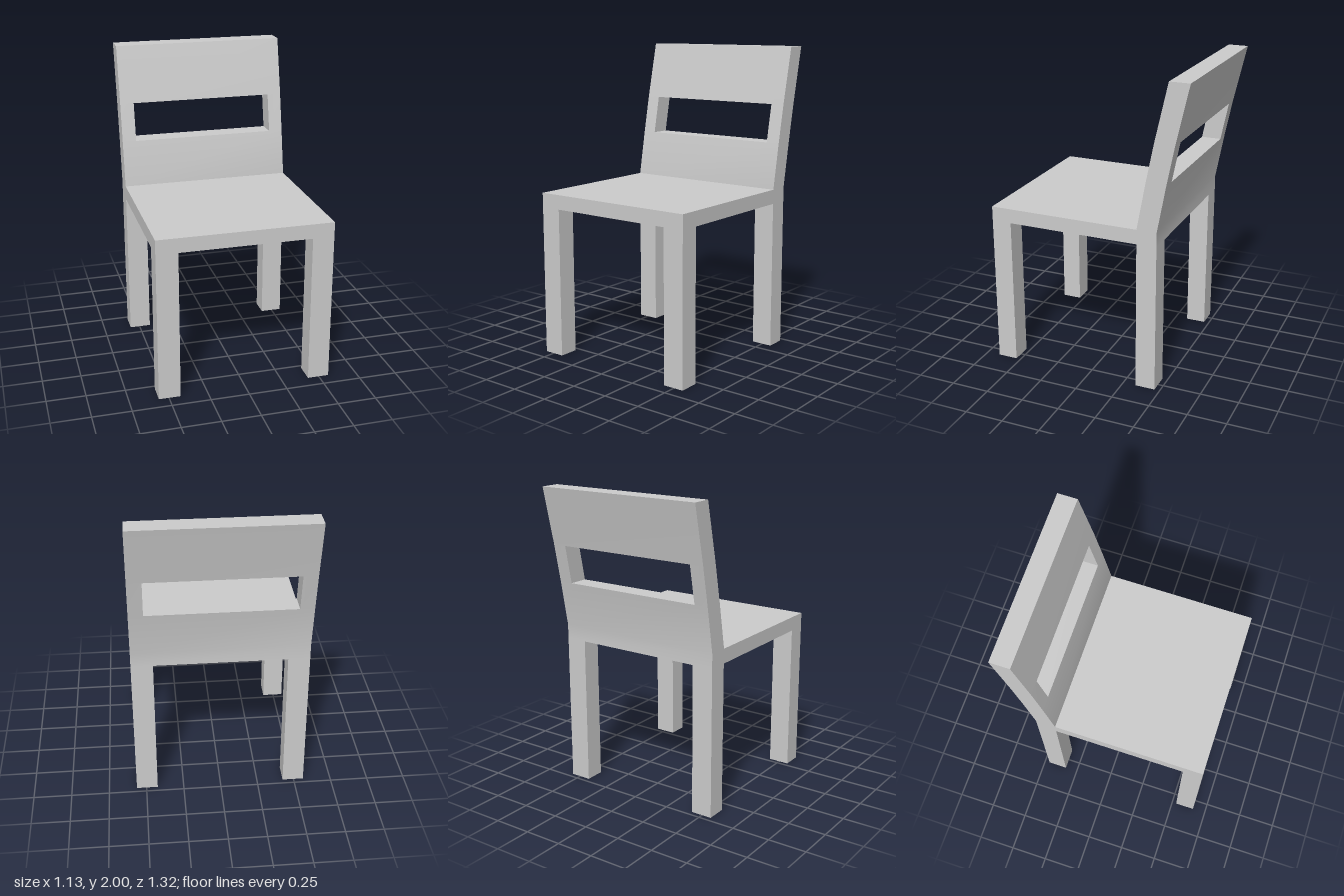
import * as THREE from 'three';
import { mergeGeometries, toCreasedNormals } from 'three/addons/utils/BufferGeometryUtils.js';

const W = 0.565;          // half width
const FRONT = 0.66;       // front of the seat
const T = 0.13;           // thickness of backrest and depth of legs
const SEAT_LOW = 0.98, SEAT_TOP = 1.075;

// front line of the leaning backrest: [y, z]
const LEAN = [[SEAT_LOW, -0.335], [SEAT_TOP, -0.335], [1.375, -0.39], [1.625, -0.44], [2, -0.525]];

// slice of the backrest between two points of the lean, from x0 to x1
function backSlice(from, to, x0, x1) {
  const line = LEAN.slice(from, to + 1);
  const front = line.map(([y, z]) => new THREE.Vector2(-z, y));
  const rear = line.map(([y, z]) => new THREE.Vector2(T - z, y)).reverse();
  const geo = new THREE.ExtrudeGeometry(new THREE.Shape([...front, ...rear]), { depth: x1 - x0, bevelEnabled: false });
  return geo.rotateY(Math.PI / 2).translate(x0, 0, 0);
}

export function createModel() {
  const group = new THREE.Group();
  const material = new THREE.MeshStandardMaterial({ color: 0xcccccc });

  const add = (name, geometry) => {
    const mesh = new THREE.Mesh(geometry, material);
    mesh.name = name;
    group.add(mesh);
  };
  const box = (name, x0, x1, y0, y1, z0, z1) =>
    add(name, new THREE.BoxGeometry(x1 - x0, y1 - y0, z1 - z0)
      .translate((x0 + x1) / 2, (y0 + y1) / 2, (z0 + z1) / 2));

  // seat slab, meeting the foot of the backrest
  box('seat', -W, W, SEAT_LOW, SEAT_TOP, LEAN[0][1], FRONT);

  // four square legs
  for (const [side, x0, x1] of [['Left', 0.425, W], ['Right', -W, -0.425]]) {
    box('front' + side + 'Leg', x0, x1, 0, SEAT_LOW, FRONT - T, FRONT);
    box('back' + side + 'Leg', x0, x1, 0, SEAT_LOW, LEAN[0][1] - T, LEAN[0][1]);
  }

  // curved backrest: lower panel, two stiles beside the slot, upper panel
  const slot = 0.473;
  const back = mergeGeometries([
    backSlice(0, 2, -W, W),
    backSlice(2, 3, -W, -slot),
    backSlice(2, 3, slot, W),
    backSlice(3, 4, -W, W),
  ]);
  add('backrest', toCreasedNormals(back, 0.5));

  return group;
}
